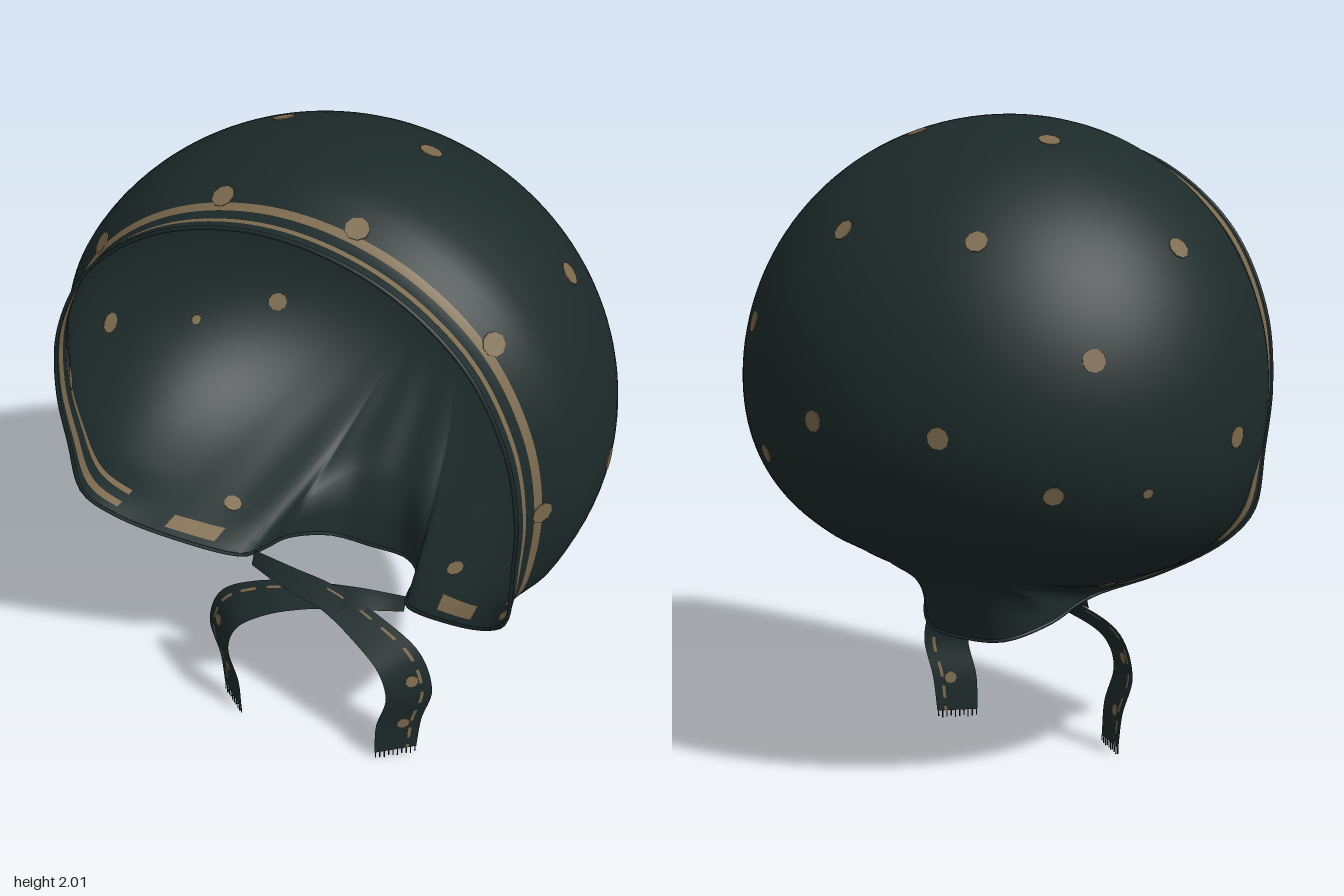
import * as THREE from 'three';

const cloth = new THREE.MeshStandardMaterial({ color: 0x1d2a2a, side: THREE.DoubleSide });
cloth.name = 'darkCloth';
const gold = new THREE.MeshStandardMaterial({ color: 0x7d6b4e, side: THREE.DoubleSide });
gold.name = 'tanPrint';

const V = (x, y, z) => new THREE.Vector3(x, y, z);
const smooth = THREE.MathUtils.smoothstep;
const WIDTH = 0.825, DEPTH = 0.745, CY = 1.2, CZ = 0.17;

// Grid of points (rows of columns) to a two-colour surface
function gridGeometry(rows, closed, isGold) {
  const n = rows[0].length, plain = [], printed = [];
  for (let i = 0; i < rows.length - 1; i++) {
    for (let j = 0; j < (closed ? n : n - 1); j++) {
      const k = (j + 1) % n, a = i * n + j, b = i * n + k, c = a + n, d = b + n;
      (isGold(i, j) ? printed : plain).push(a, b, c, b, d, c);
    }
  }
  const g = new THREE.BufferGeometry().setFromPoints(rows.flat());
  g.setIndex([...plain, ...printed]);
  g.addGroup(0, plain.length, 0);
  g.addGroup(plain.length, printed.length, 1);
  g.computeVertexNormals();
  return g;
}

function named(name, geometry, material) {
  const mesh = new THREE.Mesh(geometry, material);
  mesh.name = name;
  return mesh;
}

// Edge of the cloth: nape, neck corner, cheek, face opening up to the crown
function edgeCurve() {
  const half = [
    V(0.13, 0.45, -0.045), V(0.225, 0.49, 0.07), V(0.25, 0.52, 0.19), V(0.28, 0.54, 0.27),
    V(0.46, 0.615, 0.37), V(0.62, 0.715, 0.455), V(0.69, 0.81, 0.505), V(0.71, 1.0, 0.525),
    V(0.72, 1.2, 0.545), V(0.685, 1.43, 0.562), V(0.56, 1.67, 0.568), V(0.32, 1.85, 0.57),
  ];
  const mirrored = half.map((p) => V(-p.x, p.y, p.z)).reverse();
  return new THREE.CatmullRomCurve3([V(0, 0.44, -0.06), ...half, V(0, 1.92, 0.57), ...mirrored], true);
}

// Egg-shaped crown, drawn from the back pole out to the cloth edge
function shellGeometry(edge) {
  const cols = edge.getSpacedPoints(160).slice(0, 160);
  const bands = [0, 0.035, 0.06, 0.1, 0.127];
  const rowCount = 44;

  const point = (B, row) => {
    const height = B.y > CY ? 0.8 : 0.59;
    let sx = B.x / WIDTH, sy = (B.y - CY) / height;
    const len = Math.hypot(sx, sy);
    sx /= len; sy /= len;
    const end = Math.acos((CZ - B.z) / DEPTH);
    const egg = (phi) => {
      const bulge = sy < 0 ? 1 + 0.24 * (sx * sy) ** 2 * Math.sin(phi) ** 2 : 1;
      const r = Math.sin(phi) * bulge;
      return V(WIDTH * sx * r, CY + height * sy * r, CZ - DEPTH * Math.cos(phi));
    };
    const last = bands[bands.length - 1] / 0.77;
    const phi = row < bands.length
      ? end - bands[row] / 0.77
      : (end - last) * (1 - (row - bands.length + 1) / (rowCount - bands.length));
    const u = phi / end;
    const power = 14 - 8 * smooth(B.z, -0.06, 0.15);
    const p = egg(phi).addScaledVector(B.clone().sub(egg(end)), u ** power);
    // Soft gathers up from the neck, and a straight hem band around the face
    const gather = smooth(-sy, 0.75, 1) * u ** 4 * (1 - u) * 0.05;
    const d = (end - phi) * 0.77;
    const hem = 0.028 * smooth(B.z, 0.4, 0.52) * smooth(d, 0, 0.09) * (1 - smooth(d, 0.09, 0.26));
    const offset = gather * Math.sin(Math.atan2(sx, -sy) * 26) - hem;
    p.x += sx * offset;
    p.y += sy * offset;
    return p;
  };

  const rows = [];
  for (let i = 0; i < rowCount; i++) rows.push(cols.map((B) => point(B, i)));
  // Two stripes around the face and a printed patch under each cheek
  const isGold = (i, j) => {
    const z = cols[j].z;
    return ((i === 1 || i === 3) && z > 0.47) || (i >= 1 && i <= 2 && z > 0.335 && z < 0.4);
  };
  return gridGeometry(rows, true, isGold);
}

// Thin printed spot lying on a surface
function spot(name, position, normal, radius) {
  const mesh = named(name, new THREE.CylinderGeometry(radius, radius, 0.005, 9), gold);
  mesh.position.copy(position);
  mesh.quaternion.setFromUnitVectors(V(0, 1, 0), normal);
  return mesh;
}

// Ribbon tie: crosses under the chin, then hangs; side is +1 or -1
function tie(side) {
  const group = new THREE.Group();
  group.name = side > 0 ? 'leftTie' : 'rightTie';
  const lift = side > 0 ? 0.006 : -0.006;
  const flip = (p) => V(p.x * side, p.y, p.z);
  const path = new THREE.CatmullRomCurve3([
    V(-0.26, 0.515, 0.24), V(-0.12, 0.515, 0.28), V(0.03, 0.495 + lift, 0.3), V(0.18, 0.45, 0.33),
    V(0.29, 0.38, 0.35), V(0.328, 0.27, 0.355), V(0.295, 0.14, 0.355), V(0.285, 0.025, 0.355),
  ].map(flip));
  const across = new THREE.CatmullRomCurve3([
    V(0, 0.022, -0.01), V(0.005, 0.024, -0.025), V(0.008, 0.028, -0.03), V(0.03, 0.032, -0.035),
    V(0.05, 0.025, -0.042), V(0.057, 0.004, -0.045), V(0.056, 0, -0.045), V(0.052, 0, -0.042),
  ].map(flip));
  const steps = 56, marks = [-1, -0.3, 0.3, 0.5, 0.64, 1];
  const at = (t, v) => path.getPoint(t).addScaledVector(across.getPoint(t), v);
  const rows = [];
  for (let i = 0; i <= steps; i++) rows.push(marks.map((v) => at(i / steps, v)));
  const dashed = (i, j) => j === 3 && i > 12 && i % 5 < 3;
  group.add(named('ribbon', gridGeometry(rows, false, dashed), [cloth, gold]));

  // Printed spots
  for (const t of [0.66, 0.86]) {
    const normal = path.getTangent(t).cross(across.getPoint(t)).normalize();
    group.add(spot('ribbonSpot', at(t, 0.2), normal, 0.02));
  }

  // Frayed threads at the end
  for (let i = 0; i <= 9; i++) {
    const length = 0.019 + 0.006 * ((i * 7) % 3) / 2;
    const thread = named('fringeThread', new THREE.BoxGeometry(0.003, length, 0.003), cloth);
    thread.position.copy(at(1, -0.95 + i * 0.21));
    thread.position.y -= length / 2;
    group.add(thread);
  }
  return group;
}

export function createModel() {
  const model = new THREE.Group();
  model.name = 'bonnet';

  const edge = edgeCurve();
  const shell = named('bonnetCrown', shellGeometry(edge), [cloth, gold]);
  model.add(shell);
  model.add(named('edgeHem', new THREE.TubeGeometry(edge, 160, 0.006, 6, true), cloth));

  // Printed spots: x, y, z and radius, mirrored left and right
  const spots = [
    [0.21, 1.19, -0.55, 0.033], [0.485, 1.03, -0.39, 0.03], [0.58, 1.41, -0.33, 0.034],
    [0.225, 1.72, -0.37, 0.033], [0.23, 1.97, 0.035, 0.033], [0.65, 1.68, 0.035, 0.034],
    [0.82, 1.14, 0.09, 0.033], [0.68, 1.02, -0.2, 0.016], [0.38, 0.62, 0.14, 0.028],
    [0.2, 1.925, 0.445, 0.034], [0.59, 1.67, 0.44, 0.034], [0.76, 1.16, 0.435, 0.034],
  ];
  const centre = V(0, 1.2, 0.1);
  shell.updateMatrixWorld();
  for (const side of [1, -1]) {
    for (const [x, y, z, radius] of spots) {
      const ray = new THREE.Raycaster(centre, V(x * side, y, z).sub(centre).normalize());
      const hit = ray.intersectObject(shell)[0];
      if (hit) model.add(spot('printedSpot', hit.point, hit.face.normal.clone().normalize(), radius));
    }
    model.add(tie(side));
  }
  return model;
}
